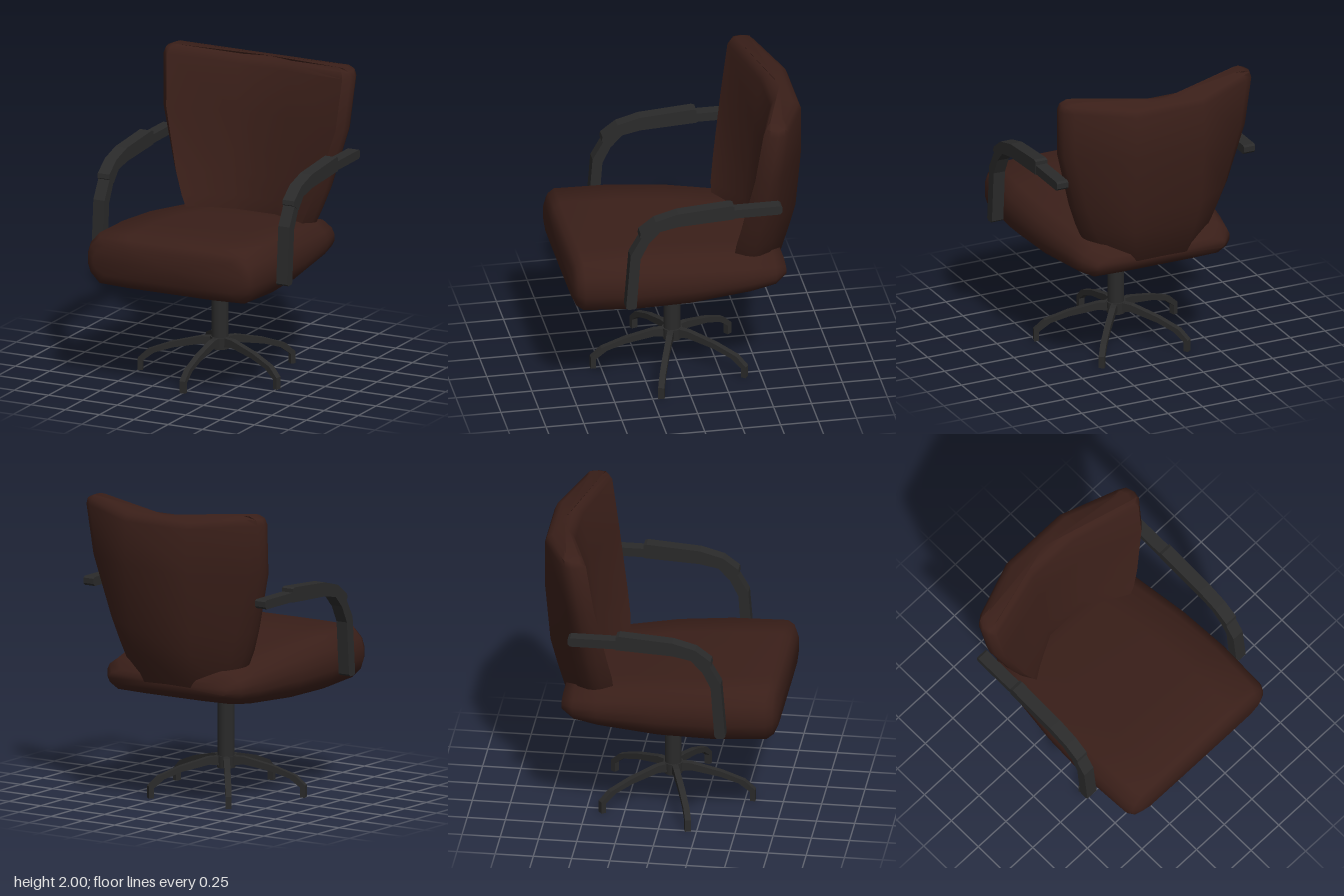
import * as THREE from 'three';
import { toCreasedNormals } from 'three/addons/utils/BufferGeometryUtils.js';

const leather = new THREE.MeshStandardMaterial({ color: 0x3a1f19 });
const plastic = new THREE.MeshStandardMaterial({ color: 0x2a2a2a });

function part(name, geometry, material) {
  const mesh = new THREE.Mesh(geometry, material);
  mesh.name = name;
  return mesh;
}

// Completes a half cross-section with its mirror image in x
const mirrored = (half) => half.concat([...half].reverse().map(([x, y, z]) => [-x, y, z]));

// Skins a series of closed rings and closes both ends around the given centres
function loft(rings, startCentre, endCentre, crease) {
  const n = rings[0].length, last = (rings.length - 1) * n;
  const points = [...rings.flat(), startCentre, endCentre];
  const start = points.length - 2, end = points.length - 1, index = [];
  for (let j = 0; j < n; j++) {
    const k = (j + 1) % n;
    for (let i = 0; i < last; i += n) {
      index.push(i + j, i + n + j, i + n + k, i + j, i + n + k, i + k);
    }
    index.push(start, j, k, end, last + k, last + j);
  }
  const geometry = new THREE.BufferGeometry();
  geometry.setAttribute('position', new THREE.Float32BufferAttribute(points.flat(), 3));
  geometry.setIndex(index);
  geometry.computeVertexNormals();
  return toCreasedNormals(geometry, crease);
}

// Side profile given as (z, y), extruded to a width centred on x = 0
function sideProfile(points, width) {
  const shape = new THREE.Shape(points.map(([z, y]) => new THREE.Vector2(z, y)));
  const geometry = new THREE.ExtrudeGeometry(shape, { depth: width, bevelEnabled: false });
  geometry.translate(0, 0, -width / 2);
  geometry.rotateY(-Math.PI / 2);
  return geometry;
}

// Seat cushion: rounded sections from back to front (z, half width, bottom, top)
function seatGeometry() {
  const rows = [
    [-0.64, 0.46, 0.78, 0.88], [-0.56, 0.53, 0.73, 0.945], [-0.4, 0.56, 0.71, 0.97],
    [0, 0.61, 0.69, 1.02], [0.35, 0.627, 0.69, 1.045], [0.71, 0.612, 0.705, 1.06],
    [0.755, 0.59, 0.735, 1.04], [0.78, 0.54, 0.785, 0.99],
  ];
  const rings = rows.map(([z, w, bottom, top]) => {
    const h = top - bottom;
    return mirrored([
      [w - 0.3, top, z], [w - 0.085, top - 0.02 * h, z], [w - 0.02, top - 0.23 * h, z],
      [w, top - 0.42 * h, z], [w, bottom + 0.38 * h, z], [w - 0.02, bottom + 0.2 * h, z],
      [w - 0.085, bottom + 0.02 * h, z], [w - 0.3, bottom, z],
    ]);
  });
  return loft(rings, [0, 0.83, -0.65], [0, 0.89, 0.78], 1.0);
}

// Backrest: wrap-around sections from bottom to top
// (y, half width, back centre z, back wing z, front wing z, front centre z, wing lift)
function backGeometry() {
  const rows = [
    [0.74, 0.34, -0.57, -0.49, -0.34, -0.5, 0], [0.83, 0.41, -0.65, -0.53, -0.3, -0.465, 0],
    [1.05, 0.505, -0.705, -0.55, -0.31, -0.475, 0], [1.2, 0.56, -0.74, -0.565, -0.335, -0.495, 0],
    [1.6, 0.667, -0.777, -0.585, -0.405, -0.54, 0], [1.9, 0.69, -0.777, -0.63, -0.455, -0.585, 0.04],
    [1.94, 0.675, -0.76, -0.62, -0.475, -0.605, 0.04], [1.957, 0.63, -0.725, -0.595, -0.51, -0.635, 0.043],
  ];
  const rings = rows.map(([y, w, zb, zbw, zfw, zf, lift]) => {
    const bend = 0.24 * Math.min(1, w / 0.55), mid = (zbw + zfw) / 2;
    return mirrored([
      [bend, y, zb], [w - 0.07, y + lift, zbw], [w - 0.015, y + lift, mid - 0.045],
      [w, y + lift, mid], [w - 0.01, y + lift, mid + 0.05], [w - 0.05, y + lift, zfw],
      [bend - 0.06, y, zf],
    ]);
  });
  return loft(rings, [0, 0.74, -0.53], [0, 1.957, -0.68], 0.95);
}

// Armrest: thin rear bar, thicker curved pad and front post
function armrest(name, x) {
  const arm = new THREE.Group();
  arm.name = name;
  const bar = [[-0.2, 1.39], [-0.2, 1.45], [-0.55, 1.45], [-0.565, 1.44], [-0.565, 1.405], [-0.55, 1.39]];
  const pad = [
    [-0.25, 1.385], [0.12, 1.365], [0.24, 1.34], [0.31, 1.265], [0.375, 1.31],
    [0.37, 1.34], [0.27, 1.415], [0.12, 1.457], [-0.23, 1.483], [-0.25, 1.475],
  ];
  const post = [
    [0.41, 0.787], [0.45, 0.787], [0.465, 0.8], [0.435, 1.18], [0.355, 1.32],
    [0.3, 1.29], [0.37, 1.15], [0.395, 0.8],
  ];
  arm.add(
    part('armBar', sideProfile(bar, 0.08), plastic),
    part('armPad', sideProfile(pad, 0.085), plastic),
    part('armPost', sideProfile(post, 0.082), plastic),
  );
  arm.position.x = x;
  return arm;
}

// Pedestal: column, hub and five arched legs
function pedestal() {
  const base = new THREE.Group();
  base.name = 'pedestal';
  const column = new THREE.CylinderGeometry(0.055, 0.055, 0.52, 20);
  column.translate(0, 0.46, 0);
  const hub = new THREE.CylinderGeometry(0.065, 0.06, 0.08, 20);
  hub.translate(0, 0.21, 0);
  base.add(part('column', column, plastic), part('hub', hub, plastic));
  const leg = sideProfile([
    [0, 0.25], [0, 0.18], [0.12, 0.197], [0.31, 0.162], [0.43, 0.122], [0.505, 0.065], [0.505, 0],
    [0.538, 0], [0.538, 0.08], [0.47, 0.143], [0.315, 0.2], [0.12, 0.247],
  ], 0.04);
  for (let i = 0; i < 5; i++) {
    const mesh = part('leg', leg, plastic);
    mesh.rotation.y = (i * Math.PI * 2) / 5;
    base.add(mesh);
  }
  base.position.z = 0.03;
  return base;
}

export function createModel() {
  const chair = new THREE.Group();
  chair.name = 'officeChair';
  chair.add(
    part('seat', seatGeometry(), leather),
    part('backrest', backGeometry(), leather),
    armrest('leftArmrest', 0.674),
    armrest('rightArmrest', -0.674),
    pedestal(),
  );
  return chair;
}
